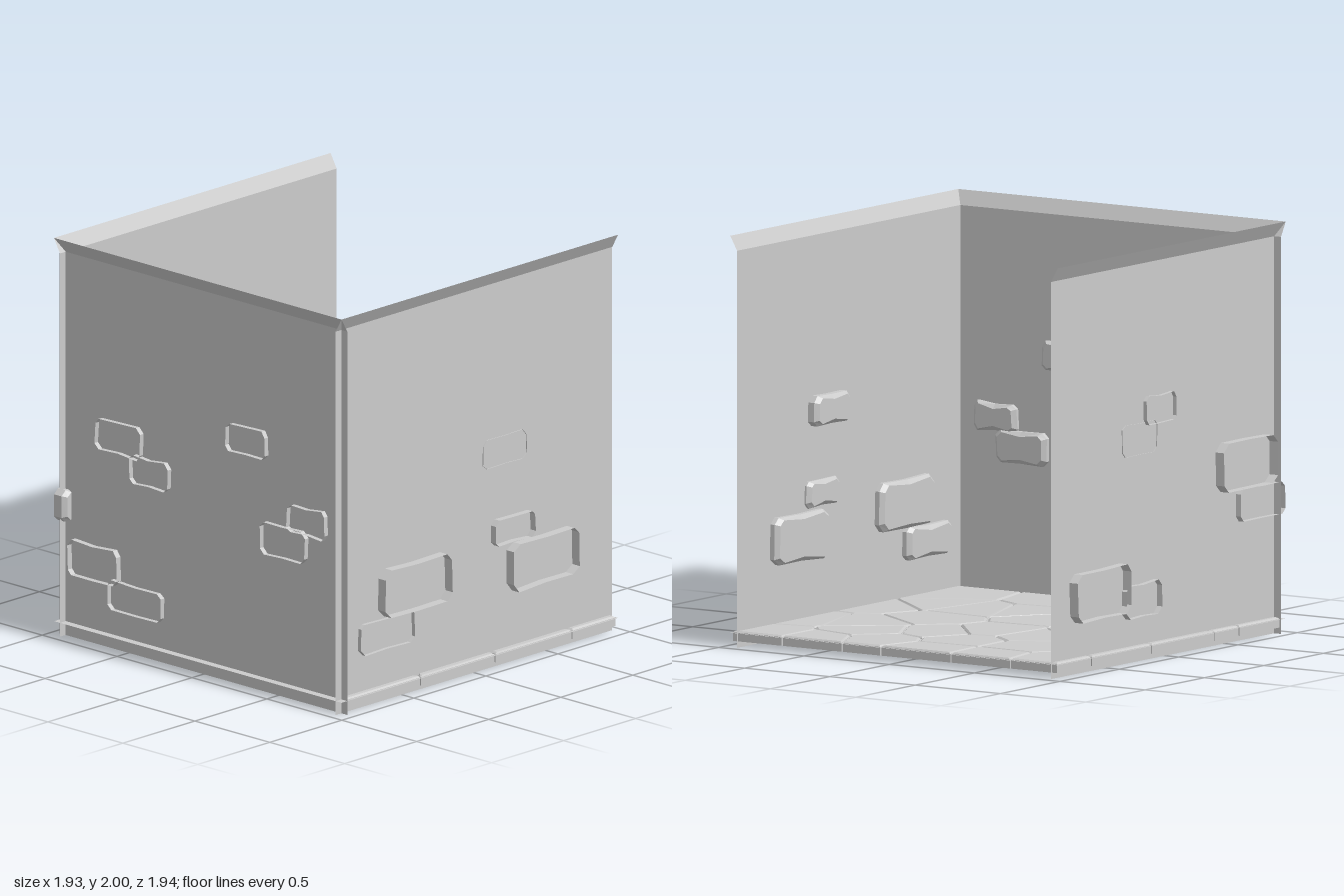
import * as THREE from 'three';

const material = new THREE.MeshStandardMaterial({ color: 0xcccccc, flatShading: true, side: THREE.DoubleSide });

let seed = 7;
const jitter = (amount) => {
  seed = (seed * 16807) % 2147483647;
  return (seed / 2147483647 - 0.5) * 2 * amount;
};

function addMesh(parent, geometry, name) {
  const mesh = new THREE.Mesh(geometry, material);
  mesh.name = name;
  parent.add(mesh);
  return mesh;
}

// Hollow bevelled shell: straight sides, a bevel, a flat cap towards +z, open at the back
function shell(outline, back, front, bevelWidth, bevelDepth) {
  const n = outline.length;
  const centre = outline.reduce((c, p) => c.add(p), new THREE.Vector2()).divideScalar(n);
  const inner = outline.map((p) => {
    const d = centre.clone().sub(p);
    return p.clone().addScaledVector(d.normalize(), bevelWidth);
  });
  const positions = [];
  const ring = (points, z) => points.forEach((p) => positions.push(p.x, p.y, z));
  ring(outline, back);
  ring(outline, front - bevelDepth);
  ring(inner, front);
  positions.push(centre.x, centre.y, front);
  const index = [];
  for (let i = 0; i < n; i++) {
    const j = (i + 1) % n;
    for (const r of [0, n]) index.push(r + i, r + j, r + n + j, r + i, r + n + j, r + n + i);
    index.push(2 * n + i, 2 * n + j, 3 * n);
  }
  const indexed = new THREE.BufferGeometry();
  indexed.setAttribute('position', new THREE.Float32BufferAttribute(positions, 3));
  indexed.setIndex(index);
  const geometry = indexed.toNonIndexed();
  geometry.computeVertexNormals();
  return geometry;
}

// Brick outline: a rectangle with cut corners and a slightly uneven edge
function brickOutline(x0, x1, y0, y1) {
  const c = 0.16 * (y1 - y0);
  const mid = (x0 + x1) / 2;
  return [
    [x0 + c, y0], [mid, y0 + 0.004], [x1 - c, y0], [x1, y0 + c], [x1, y1 - c],
    [x1 - c, y1], [mid, y1 - 0.004], [x0 + c, y1], [x0, y1 - c], [x0, y0 + c],
  ].map(([x, y]) => new THREE.Vector2(x + jitter(0.005), y + jitter(0.005)));
}

// Wall sheet with an outward lip along the top; its bricks poke through it
function wall(name, angle, bricks) {
  const group = new THREE.Group();
  group.name = name;
  const sheet = new THREE.PlaneGeometry(1.92, 2, 1, 2);
  const p = sheet.attributes.position;
  for (let i = 0; i < p.count; i++) {
    const row = Math.floor(i / 2);
    p.setY(i, [2, 1.93, 0][row]);
    p.setZ(i, row === 0 ? -0.96 : -0.92);
  }
  sheet.computeVertexNormals();
  addMesh(group, sheet, name + 'Sheet');
  for (const [x0, x1, y0, y1, outer, inner] of bricks) {
    addMesh(group, shell(brickOutline(x0, x1, y0, y1), -outer, -inner, 0.022, 0.02), 'brick');
  }
  group.rotation.y = angle;
  return group;
}

// Keep the part of a convex polygon where dot(p, normal) <= limit
function clip(polygon, normal, limit) {
  const out = [];
  polygon.forEach((a, i) => {
    const b = polygon[(i + 1) % polygon.length];
    const da = a.dot(normal) - limit;
    const db = b.dot(normal) - limit;
    if (da <= 0) out.push(a);
    if (da * db < 0) out.push(a.clone().lerp(b, da / (da - db)));
  });
  return out;
}

// Irregular paving: each stone is the area nearest to its centre (x, z)
function paving() {
  const group = new THREE.Group();
  group.name = 'pavingStones';
  const centres = [
    [-0.75, -0.72], [-0.44, -0.7], [-0.15, -0.82], [-0.69, -0.36], [0.03, -0.5], [0.48, -0.86],
    [0.82, -0.82], [0.56, -0.51], [0.26, -0.34], [0.56, -0.13], [0.87, -0.5], [0.88, -0.15],
    [-0.26, -0.04], [-0.4, 0.15], [-0.78, 0.2], [-0.31, 0.42], [0.22, -0.07], [0.4, 0.13],
    [0.04, 0.43], [0.76, 0.24], [0.56, 0.43], [0.32, 0.61], [0.88, 0.5], [-0.65, 0.83],
    [-0.36, 0.67], [-0.15, 0.84], [0.4, 0.9], [0.87, 0.82],
  ].map(([x, z]) => new THREE.Vector2(x, -z));
  for (const c of centres) {
    let cell = [[-0.92, -0.95], [0.95, -0.95], [0.95, 0.95], [-0.92, 0.95]].map((v) => new THREE.Vector2(...v));
    for (const other of centres) {
      if (other === c) continue;
      const normal = other.clone().sub(c).normalize();
      const middle = c.clone().add(other).multiplyScalar(0.5);
      cell = clip(cell, normal, middle.dot(normal) - 0.004);
    }
    addMesh(group, shell(cell, 0.03, 0.08, 0.012, 0.008), 'pavingStone');
  }
  group.rotation.x = -Math.PI / 2;
  return group;
}

export function createModel() {
  const model = new THREE.Group();
  model.name = 'openRoom';

  // Bricks: start and end along the wall, bottom, top, outer and inner depth
  model.add(wall('backWall', 0, [
    [-0.07, 0.18, 1.14, 1.28, 0.94, 0.88],
    [0.07, 0.36, 1.0, 1.16, 0.925, 0.865],
    [-0.88, -0.43, 0.74, 0.98, 0.97, 0.87],
    [-0.97, -0.6, 0.58, 0.74, 0.95, 0.88],
    [0.35, 0.8, 0.25, 0.49, 0.97, 0.87],
    [0.07, 0.36, 0.22, 0.38, 0.95, 0.885],
  ]));
  model.add(wall('frontWall', Math.PI, [
    [-0.36, -0.06, 1.0, 1.15, 0.925, 0.865],
    [0.2, 0.66, 0.42, 0.66, 0.97, 0.875],
    [0.43, 0.8, 0.26, 0.42, 0.94, 0.875],
    [-0.39, -0.12, 0.61, 0.74, 0.955, 0.89],
    [-0.68, -0.23, 0.36, 0.6, 0.97, 0.875],
  ]));
  model.add(wall('rightWall', Math.PI / 2, [
    [-0.43, -0.17, 1.17, 1.31, 0.945, 0.885],
    [-0.83, -0.58, 0.85, 0.99, 0.945, 0.885],
    [-0.7, -0.4, 0.7, 0.86, 0.945, 0.88],
    [0.4, 0.7, 0.99, 1.15, 0.945, 0.88],
    [0.22, 0.47, 0.87, 1.01, 0.945, 0.885],
    [0.55, 0.88, 0.32, 0.5, 0.95, 0.88],
    [0.26, 0.62, 0.2, 0.35, 0.945, 0.885],
  ]));

  // Floor sheet under the paving
  const floor = addMesh(model, new THREE.PlaneGeometry(1.92, 1.92), 'floorSheet');
  floor.rotation.x = -Math.PI / 2;
  floor.position.y = 0.07;
  model.add(paving());
  return model;
}
